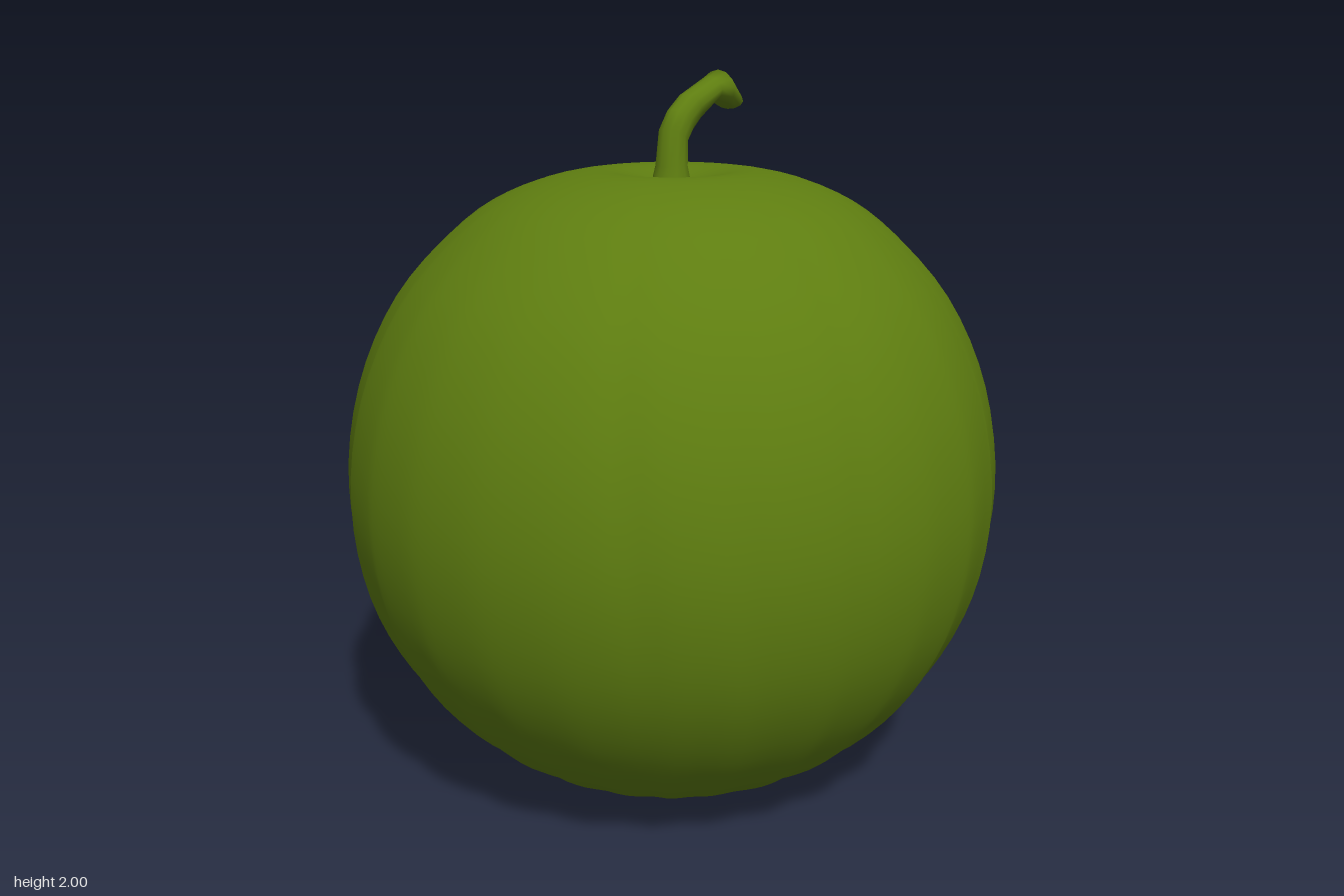
import * as THREE from 'three';
import { mergeVertices } from 'three/addons/utils/BufferGeometryUtils.js';

const green = new THREE.MeshStandardMaterial({ color: 0x5e7d10 });
green.name = 'melon green';

// Scale every vertex towards the vertical axis by a factor of its angle and height
function shrink(geometry, rule) {
  const p = geometry.attributes.position;
  for (let i = 0; i < p.count; i++) {
    const x = p.getX(i), y = p.getY(i), z = p.getZ(i);
    const belly = Math.min(1, Math.hypot(x, z) / 0.6);
    const k = 1 - belly * rule(Math.atan2(x, z), y);
    p.setX(i, x * k);
    p.setZ(i, z * k);
  }
}

// Round fruit, dimpled at both poles
function makeFruit() {
  const profile = new THREE.SplineCurve([
    [0, 0.04], [0.1, 0.02], [0.24, 0.005], [0.43, 0.055], [0.62, 0.18], [0.78, 0.37],
    [0.885, 0.6], [0.922, 0.87], [0.88, 1.15], [0.765, 1.4], [0.59, 1.59],
    [0.42, 1.69], [0.23, 1.737], [0.1, 1.72], [0, 1.695],
  ].map(([r, y]) => new THREE.Vector2(r, y)));
  const points = profile.getPoints(56);
  points[0].x = points[56].x = 0;
  let g = new THREE.LatheGeometry(points, 144);
  g.deleteAttribute('uv');
  g.deleteAttribute('normal');
  g = mergeVertices(g, 1e-4);

  // A few soft creases running from pole to pole
  const creases = [0.62, 0.95, 1.3, 1.95, 2.2, 2.45, 3.6, 4.4, 5.45];
  shrink(g, (a, y) => {
    let d = 0;
    creases.forEach((c, i) => {
      const off = a - c - 0.04 * Math.sin(3 * y + i);
      const t = Math.atan2(Math.sin(off), Math.cos(off)) / 0.055;
      d += 0.006 * Math.exp(-t * t);
    });
    return d;
  });
  g.computeVertexNormals();

  // Shallow ribs that mainly shape the outline
  shrink(g, (a) => 0.018 * Math.pow(Math.abs(Math.sin(a * 13)), 2) - 0.002);
  return g;
}

// Curved stem from rings: upper edge (z, y), lower edge (z, y), half width
function makeStem() {
  const rings = [
    [0.07, 1.66, -0.06, 1.66, 0.065],
    [0.046, 1.75, -0.041, 1.75, 0.046],
    [0.035, 1.85, -0.045, 1.81, 0.042],
    [0.002, 1.9, -0.07, 1.842, 0.04],
    [-0.05, 1.94, -0.1, 1.87, 0.04],
    [-0.155, 1.983, -0.165, 1.915, 0.044],
    [-0.192, 2.0, -0.205, 1.902, 0.056],
    [-0.25, 1.935, -0.235, 1.89, 0.05],
    [-0.243, 1.912, -0.243, 1.912, 0],
  ];
  const sides = 12, pos = [], idx = [];
  rings.forEach(([z1, y1, z2, y2, w], r) => {
    for (let s = 0; s < sides; s++) {
      const a = (s / sides) * Math.PI * 2, c = Math.cos(a) / 2;
      pos.push(Math.sin(a) * w, (y1 + y2) / 2 + c * (y1 - y2), (z1 + z2) / 2 + c * (z1 - z2));
      if (r === rings.length - 1) continue;
      const i = r * sides + s, j = r * sides + (s + 1) % sides;
      idx.push(i, j, j + sides, i, j + sides, i + sides);
    }
  });
  let g = new THREE.BufferGeometry();
  g.setAttribute('position', new THREE.Float32BufferAttribute(pos, 3));
  g.setIndex(idx);
  g = mergeVertices(g, 1e-4);
  g.computeVertexNormals();
  return g;
}

export function createModel() {
  const model = new THREE.Group();
  model.name = 'melon';
  const add = (name, geometry) => {
    const mesh = new THREE.Mesh(geometry, green);
    mesh.name = name;
    model.add(mesh);
  };
  add('fruit', makeFruit());
  add('stem', makeStem());
  return model;
}
